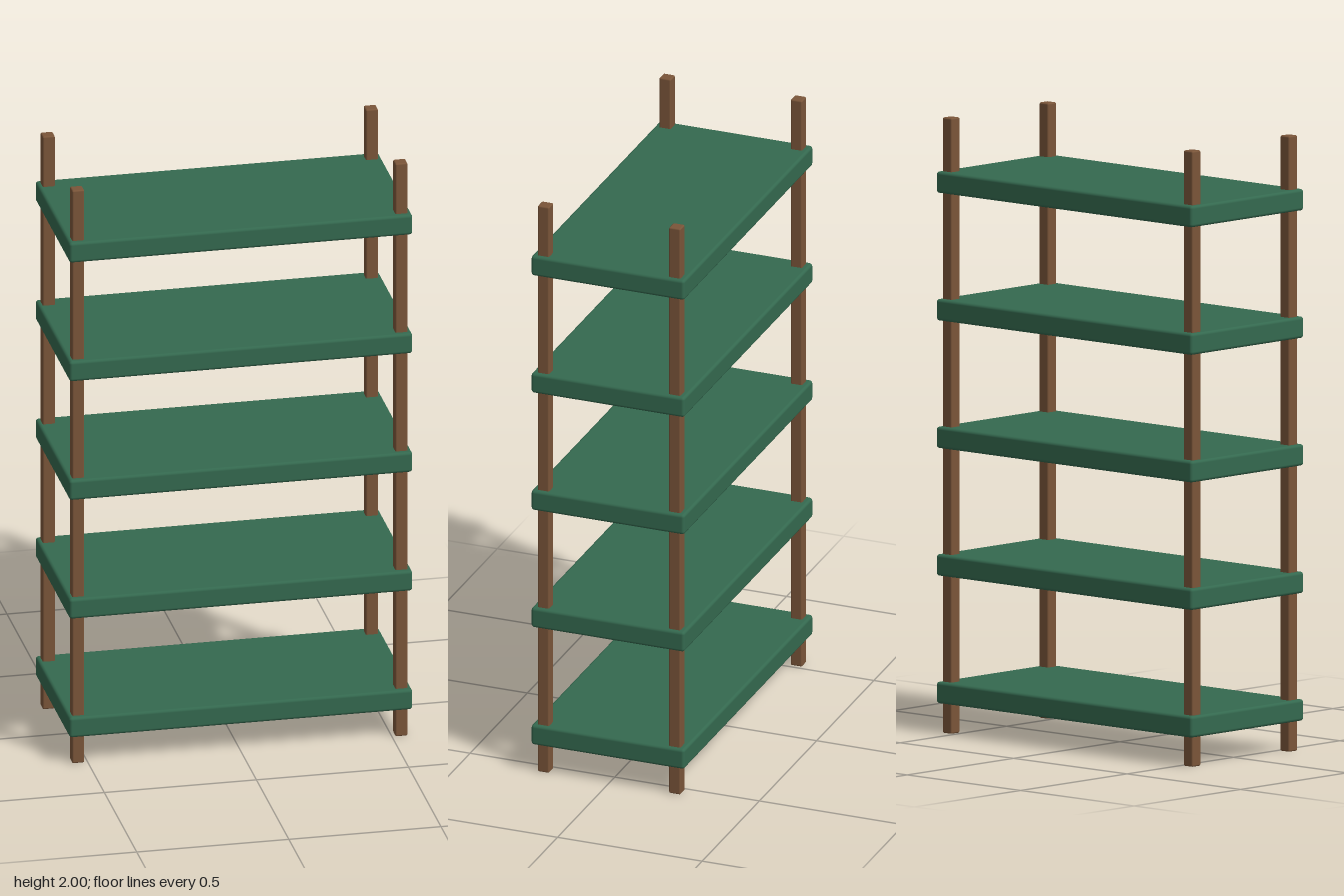
import * as THREE from 'three';
import { RoundedBoxGeometry } from 'three/addons/geometries/RoundedBoxGeometry.js';

export function createModel() {
  const model = new THREE.Group();
  model.name = 'shelvingUnit';

  const green = new THREE.MeshStandardMaterial({ color: 0x34694f });
  green.name = 'green paint';
  const wood = new THREE.MeshStandardMaterial({ color: 0x7a5539 });
  wood.name = 'brown wood';

  const add = (name, geometry, material, x, y, z) => {
    const mesh = new THREE.Mesh(geometry, material);
    mesh.name = name;
    mesh.position.set(x, y, z);
    model.add(mesh);
  };

  // Five evenly spaced boards with softened edges
  const shelf = new RoundedBoxGeometry(1.128, 0.07, 0.53, 2, 0.01);
  for (let i = 0; i < 5; i++) {
    add(`shelf${i + 1}`, shelf, green, 0, 0.132 + i * 0.4145, 0);
  }

  // Four square corner posts running through the boards
  const post = new RoundedBoxGeometry(0.04, 2, 0.04, 2, 0.005);
  for (const [side, x] of [['Left', 0.531], ['Right', -0.531]]) {
    for (const [end, z] of [['front', 0.227], ['back', -0.227]]) {
      add(`${end}${side}Post`, post, wood, x, 1, z);
    }
  }

  return model;
}
